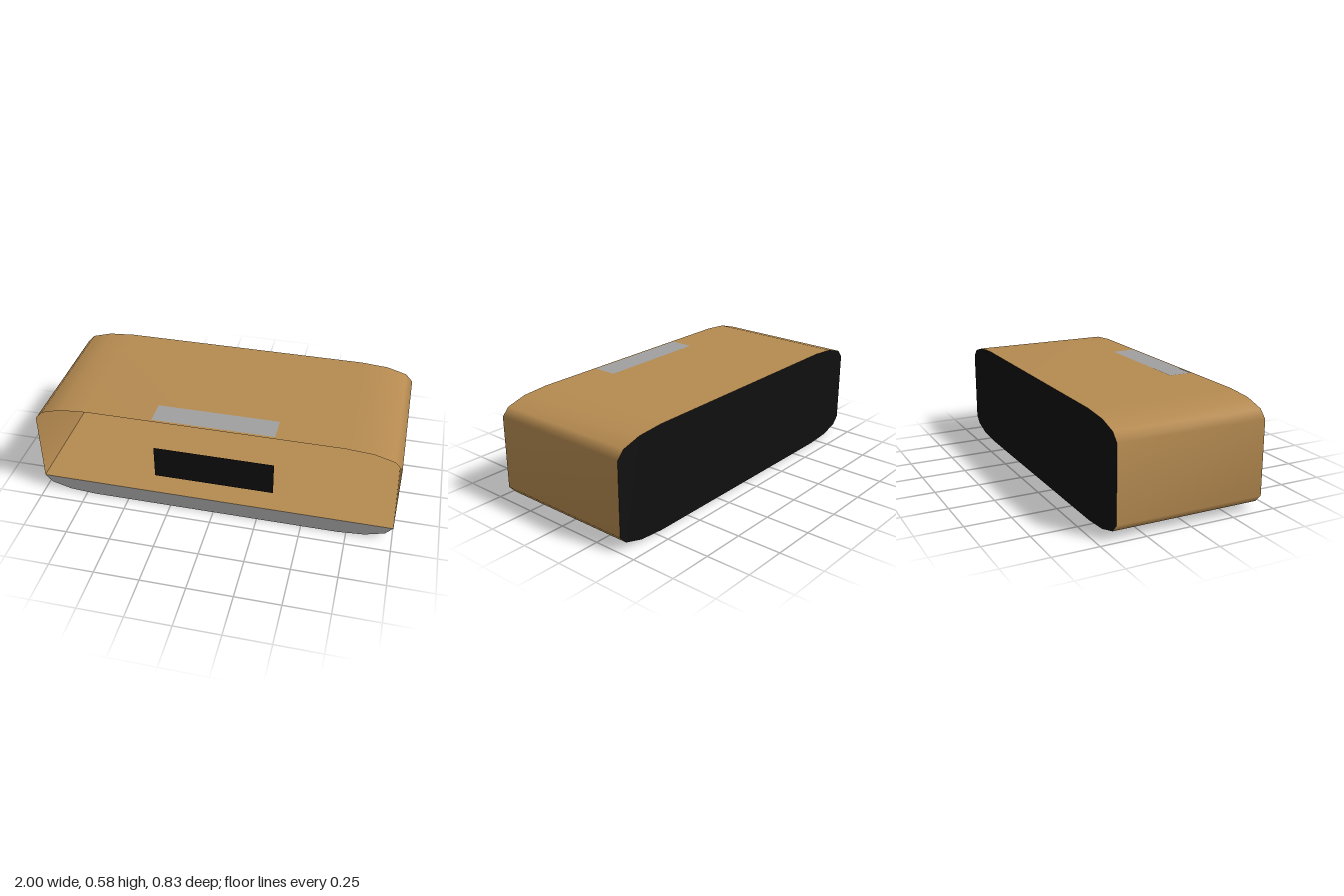
import * as THREE from 'three';

const H = 0.583, D = 0.415, RX = 0.3, RY = 0.0875;

const flat = (color, name) =>
  new THREE.MeshStandardMaterial({ color, name, side: THREE.DoubleSide });

// Elliptical corner, counterclockwise from angle a0
function corner(cx, cy, a0) {
  return [0, 1, 2, 3].map((i) => {
    const a = a0 + (i * Math.PI) / 6;
    return new THREE.Vector2(cx + RX * Math.cos(a), cy + RY * Math.sin(a));
  });
}

// Smooth closed band that sweeps an outline from front to back
function bandGeometry(outline) {
  const pos = [], index = [], n = outline.length;
  outline.forEach((p, i) => {
    pos.push(p.x, p.y, D, p.x, p.y, -D);
    const a = 2 * i, d = 2 * ((i + 1) % n);
    index.push(a, a + 1, d + 1, a, d + 1, d);
  });
  const g = new THREE.BufferGeometry();
  g.setAttribute('position', new THREE.Float32BufferAttribute(pos, 3));
  g.setIndex(index);
  g.computeVertexNormals();
  return g;
}

export function createModel() {
  const group = new THREE.Group();
  const wood = flat(0xb58a50, 'wood');
  const black = flat(0x101010, 'black');
  const grey = flat(0xa0a0a0, 'grey');

  const add = (name, geometry, material, x = 0, y = 0, z = 0) => {
    const mesh = new THREE.Mesh(geometry, material);
    mesh.name = name;
    mesh.position.set(x, y, z);
    group.add(mesh);
    return mesh;
  };

  const cx = 1 - RX, top = H - RY;
  const lower = [...corner(-cx, RY, Math.PI), ...corner(cx, RY, 1.5 * Math.PI)];
  const upper = [...corner(cx, top, 0), ...corner(-cx, top, 0.5 * Math.PI)];
  const outline = [...lower, ...upper];

  // Open-fronted case
  add('shell', bandGeometry(outline), wood);
  add('backWall', new THREE.ShapeGeometry(new THREE.Shape(outline)), black, 0, 0, -D);
  add('frontLowerPanel', new THREE.ShapeGeometry(new THREE.Shape(lower)), grey, 0, 0, D);
  add('innerFloor', new THREE.PlaneGeometry(2, 2 * D).rotateX(-Math.PI / 2), wood, 0, RY, 0);

  // Display and the bar on top
  add('display', new THREE.PlaneGeometry(0.67, 0.195), black, 0, 0.295, 0.4);
  add('topBar', new THREE.PlaneGeometry(0.67, 0.135).rotateX(-Math.PI / 2), grey, 0, H + 0.002, 0.333);

  return group;
}
